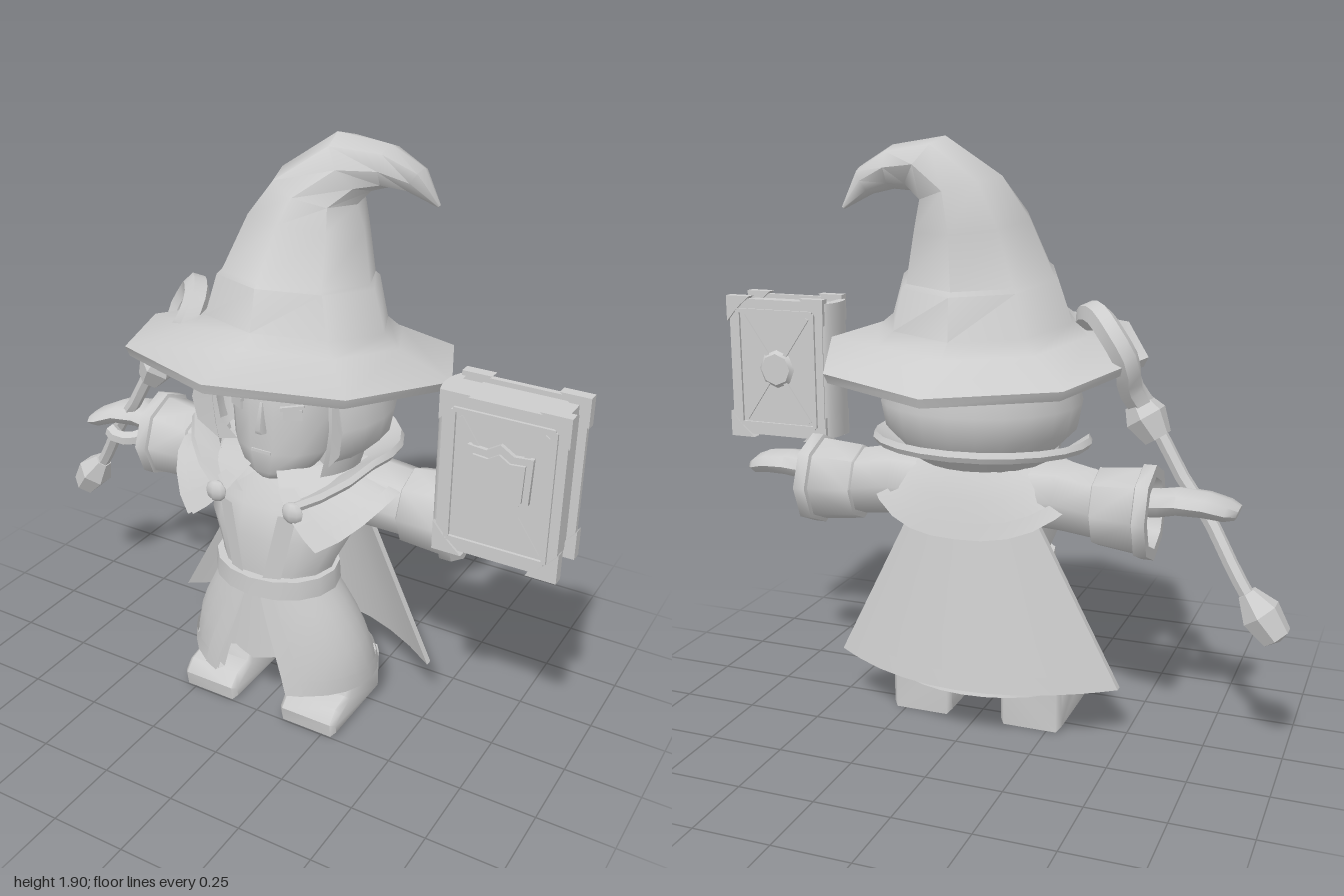
import * as THREE from 'three';
import { toCreasedNormals } from 'three/addons/utils/BufferGeometryUtils.js';

const grey = new THREE.MeshStandardMaterial({ color: 0xcccccc, side: THREE.DoubleSide });
grey.name = 'plain grey';
const V = (x, y, z) => new THREE.Vector3(x, y, z);

function build(points, index) {
  const g = new THREE.BufferGeometry();
  g.setAttribute('position', new THREE.Float32BufferAttribute(points, 3));
  g.setIndex(index);
  return g;
}

// Closed skin over rings [x, y, z, radiusX, radiusZ, tiltX, tiltZ]
function loft(rings, n) {
  const p = [], idx = [], last = rings.length - 1;
  rings.forEach(([x, y, z, rx, rz, ax = 0, az = 0]) => {
    for (let j = 0; j < n; j++) {
      const a = j / n * Math.PI * 2;
      p.push(...V(Math.cos(a) * rx, 0, Math.sin(a) * rz).applyEuler(new THREE.Euler(ax, 0, az)).add(V(x, y, z)));
    }
  });
  for (let i = 0; i < last; i++) for (let j = 0; j < n; j++) {
    const k = (j + 1) % n, a = i * n + j, c = i * n + k;
    idx.push(a, a + n, c, a + n, c + n, c);
  }
  p.push(...rings[0].slice(0, 3), ...rings[last].slice(0, 3));
  const c0 = n * (last + 1);
  for (let j = 0; j < n; j++) {
    const k = (j + 1) % n;
    idx.push(c0, j, k, c0 + 1, last * n + k, last * n + j);
  }
  return build(p, idx);
}

// Open surface from f(u, v) over a range of u and v
function sheet(f, nu, nv, u0 = 0, u1 = 1, v0 = 0, v1 = 1) {
  const p = [], idx = [];
  for (let i = 0; i <= nv; i++) for (let j = 0; j <= nu; j++)
    p.push(...f(u0 + (u1 - u0) * j / nu, v0 + (v1 - v0) * i / nv));
  for (let i = 0; i < nv; i++) for (let j = 0; j < nu; j++) {
    const a = i * (nu + 1) + j, b = a + nu + 1;
    idx.push(a, b, a + 1, b, b + 1, a + 1);
  }
  return build(p, idx);
}

// Mirror across x, keeping faces outward
function flip(geo) {
  const g = geo.index ? geo.toNonIndexed() : geo.clone(), s = g.attributes.position, p = [];
  for (let i = 0; i < s.count; i += 3)
    for (const k of [i, i + 2, i + 1]) p.push(-s.getX(k), s.getY(k), s.getZ(k));
  return build(p, p.slice(0, s.count).map((_, i) => i));
}

const lerp = THREE.MathUtils.lerp;
const polar = (a, y, rx, rz, cz) => [Math.sin(a) * rx, y, Math.cos(a) * rz + cz];
const box = (w, h, d, x, y, z, rz = 0) => new THREE.BoxGeometry(w, h, d).rotateZ(rz).translate(x, y, z);
const poly = pts => new THREE.Shape(pts.map(q => new THREE.Vector2(...q)));
const extrude = (pts, depth, bevel = 0) => new THREE.ExtrudeGeometry(poly(pts),
  { depth, bevelEnabled: bevel > 0, bevelSize: bevel, bevelThickness: bevel, bevelSegments: 1 });
const tube = (pts, r, seg) => new THREE.TubeGeometry(new THREE.CatmullRomCurve3(pts.map(q => V(...q))), seg, r, 6);
// Lathe standing at a point and leaning along a direction
const turned = (prof, at, dir) => new THREE.LatheGeometry(prof.map(q => new THREE.Vector2(...q)), 6)
  .applyQuaternion(new THREE.Quaternion().setFromUnitVectors(V(0, 1, 0), V(...dir).normalize())).translate(...at);

export function createModel() {
  const root = new THREE.Group();
  const add = (name, geo, crease = 0.7, parent = root) => {
    const m = new THREE.Mesh(toCreasedNormals(geo, crease), grey);
    m.name = name;
    parent.add(m);
  };
  const pair = (name, geo, crease) => {
    add(name + 'Left', geo, crease);
    add(name + 'Right', flip(geo), crease);
  };

  // Hat: tilted brim, stepped band, curled tip
  const t = -0.13;
  add('hat', loft([
    [0, 1.22, -.02, .27, .26, t], [0, 1.215, 0, .52, .51, t], [0, 1.245, 0, .535, .52, t],
    [0, 1.3, -.02, .35, .33, t], [0, 1.34, -.02, .3, .28, t], [0, 1.47, -.03, .257, .262, t],
    [0, 1.482, -.03, .242, .246, t], [.01, 1.64, -.07, .19, .195, t, -.06], [.035, 1.74, -.085, .135, .165, 0, -.3],
    [.13, 1.815, -.125, .1, .12, 0, -.95], [.225, 1.805, -.165, .065, .08, 0, -1.6],
    [.3, 1.765, -.2, .045, .05, 0, -2.1], [.36, 1.685, -.235, .006, .006, 0, -2.4]], 8), 0.95);

  // Head and face
  add('head', loft([[0, .862, .12, .055, .06], [0, .89, .08, .115, .12], [0, .96, .03, .175, .175],
    [0, 1.08, .015, .19, .19], [0, 1.2, .01, .19, .19], [0, 1.29, 0, .17, .17]], 14), 0.9);
  add('nose', loft([[0, 1.03, .195, .022, .025], [0, 1.045, .2, .018, .028], [0, 1.13, .19, .008, .012]], 6), 1);
  add('mouth', box(.07, .01, .01, 0, .965, .2));
  pair('brow', box(.09, .018, .012, 0, 0, 0, .25).rotateY(.5).translate(.105, 1.165, .18));
  pair('eye', box(.06, .035, .008, 0, 0, 0).rotateY(.5).translate(.1, 1.105, .18));
  pair('eyelid', box(.075, .012, .012, 0, 0, 0, .12).rotateY(.5).translate(.1, 1.128, .182));
  // Fringe, side locks and hood
  pair('fringe', sheet((u, v) => polar(u * 1.1, lerp(1.31, 1.275 - .12 * u * u, v), .215, .215, .01), 6, 2));
  pair('sideLock', sheet((u, v) => polar(lerp(.85, 1.6, u), lerp(1.3, .9, v),
    .235 + .045 * Math.sin(v * 3), .215, .01), 4, 5), 0.9);
  const hoodProfile = [[1.29, .265, .25], [1.2, .295, .28], [1.08, .325, .305], [1.0, .31, .29], [.93, .24, .23]];
  add('hood', sheet((u, v) => {
    const [y, rx, rz] = hoodProfile[Math.round(v * 4)];
    return polar(lerp(.95, 2 * Math.PI - .95, u), y, rx, rz, -.01);
  }, 16, 4), 0.9);
  pair('hoodEdge', sheet((u, v) => {
    const [y, rx, rz] = hoodProfile[Math.round(v * 4)], k = lerp(1.02, .78, u);
    return polar(.95, y, rx * k, rz * k, 0);
  }, 1, 4), 0.9);

  // Flared collar and shoulder mantle with raised rim
  const around = (gap, u) => lerp(gap, 2 * Math.PI - gap, u);
  const collar = (u, v) => {
    const a = around(.4, u), s = Math.min(1, (Math.PI - Math.abs(a - Math.PI) - .4) / .85);
    return polar(a, lerp(.85 - .05 * (1 - s), .84 + .135 * s, v), lerp(.17, .35, v), lerp(.17, .285, v), lerp(.04, -.01, v));
  };
  add('collar', sheet(collar, 20, 2), 0.9);
  add('collarRim', sheet((u, v) => {
    const q = collar(u, 1), k = 1 + .03 * Math.sin(v * Math.PI);
    return [q[0] * k, q[1] - .035 * v, q[2] * k];
  }, 20, 2), 0.9);
  const mantle = lift => (u, v) => {
    const a = around(lerp(.25, .62, v), u), s = Math.abs(Math.sin(a)) ** 3, front = Math.cos(a) > 0;
    return polar(a, lerp(.91, lerp(front ? .67 : .68, .85, s), v) + lift * .5,
      lerp(.17, .385, v ** .8) + lift, lerp(.17, front ? .3 : .255, v ** .7) + lift, .02);
  };
  add('mantle', sheet(mantle(0), 24, 4), 0.9);
  add('mantleRim', sheet(mantle(.012), 24, 1, 0, 1, .8, 1.02), 0.9);
  pair('mantleFrontRim', sheet(mantle(.013), 1, 4, 0, .04, .2, 1.02), 0.9);
  pair('clasp', new THREE.SphereGeometry(.037, 8, 6).scale(1, 1, .6).translate(.14, .81, .25), 1);

  // Torso, lapels and belt
  add('torso', loft([[0, .46, .1, .185, .155], [0, .56, .09, .195, .165], [0, .68, .06, .25, .195],
    [0, .78, .03, .25, .2], [0, .88, .02, .14, .14]], 14), 0.9);
  pair('lapel', sheet((u, v) => [lerp(.035, .085, v) + u * .055, lerp(.54, .78, v),
    lerp(.262, .246, v) - u * .02], 1, 2));
  add('belt', loft([[0, .483, .105, .19, .155], [0, .483, .105, .215, .178], [0, .548, .105, .21, .176],
    [0, .548, .1, .18, .15]], 16), 0.5);

  // Split coat skirt with front bands and hem
  const skirt = grow => (u, v) => {
    const gap = lerp(.15, .42, v), rx = lerp(.19, .325, Math.sin(v * Math.PI / 2) ** .9);
    return polar(around(gap, u), lerp(.49, .14, v), rx + grow, lerp(.16, .245, v) + grow, lerp(.1, .055, v));
  };
  add('skirt', sheet(skirt(0), 24, 5), 0.9);
  add('skirtLining', sheet(skirt(-.025), 24, 5), 0.9);
  add('hem', sheet(skirt(.008), 24, 1, 0, 1, .84, 1), 0.9);
  add('hemUnderside', sheet((u, v) => skirt(lerp(.008, -.025, v))(u, 1), 24, 1));
  pair('coatBand', sheet(skirt(.011), 1, 5, 0, .035), 0.9);
  add('innerTunic', sheet((u, v) => {
    const a = lerp(-.75, .75, u);
    return polar(a, lerp(.5, .225 + .09 * Math.abs(a), v), lerp(.18, .27, v), lerp(.15, .2, v), lerp(.1, .065, v));
  }, 8, 4), 0.9);

  // Cape with raised border
  const cape = back => (u, v) => {
    const s = 2 * u - 1;
    return [s * lerp(.17, .485, v), lerp(.8, .18, v),
      lerp(-.15, -.245, v) + s * s * lerp(.06, .18, v) - back];
  };
  add('cape', sheet(cape(0), 10, 4), 0.9);
  add('capeInside', sheet(cape(-.015), 10, 4), 0.9);
  add('capeHem', sheet(cape(.009), 10, 1, 0, 1, .91, 1), 0.9);
  pair('capeBorder', sheet(cape(.009), 1, 4, .93, 1), 0.9);
  pair('capeEdge', sheet((u, v) => cape(lerp(.009, -.015, u))(1, v), 1, 4));
  add('capeBottom', sheet((u, v) => cape(lerp(.009, -.015, v))(u, 1), 10, 1));

  // Sleeves with wide open cuffs
  const q = -Math.PI / 2;
  pair('sleeve', loft([[.12, .79, -.02, .11, .11, 0, q], [.28, .795, -.035, .118, .115, 0, q], [.4, .78, -.05, .112, .112, 0, q],
    [.405, .775, -.05, .126, .122, 0, q], [.54, .775, -.06, .14, .135, 0, q], [.545, .775, -.06, .152, .147, 0, q],
    [.585, .775, -.06, .152, .147, 0, q], [.585, .775, -.06, .115, .11, 0, q], [.48, .78, -.06, .09, .09, 0, q]], 8), 0.9);
  // Hands
  pair('hand', loft([[.47, .8, -.06, .05, .055, 0, q], [.6, .81, -.06, .046, .06, 0, q], [.66, .825, -.07, .042, .08, 0, q],
    [.74, .82, -.06, .038, .082, 0, q - .15], [.8, .8, -.03, .032, .078, 0, q - .2], [.83, .79, -.015, .02, .055, 0, q - .3]], 8), 0.9);
  pair('thumb', tube([[.59, .79, -.02], [.63, .775, .03], [.68, .775, .055], [.72, .79, .045]], .026, 5), 0.9);

  // Legs and boots
  pair('leg', new THREE.CylinderGeometry(.085, .085, .14, 8).translate(.185, .21, .03));
  pair('bootCuff', loft([[.175, .14, .025, .095, .105], [.175, .145, .025, .115, .12],
    [.175, .2, .025, .115, .12], [.175, .205, .025, .09, .1]], 8));
  pair('boot', extrude([[-.065, .015], [.232, .015], [.236, .045], [.205, .075], [.14, .09], [.11, .155], [-.065, .155]],
    .18, .015).rotateY(-Math.PI / 2).translate(.282, 0, 0), 0.8);

  // Staff with pointed foot, socket and hooked head
  add('staff', tube([[-.92, .5, -.1], [-.84, .62, -.08], [-.74, .78, -.04], [-.66, .88, -.02], [-.6, .98, -.01], [-.53, 1.09, 0]], .023, 12));
  add('staffFoot', turned([[0, 0], [.048, .015], [.064, .1], [.03, .175], [0, .175]], [-.985, .43, -.1], [.62, .8, .05]), 0.3);
  add('staffSocket', turned([[0, 0], [.045, 0], [.068, .075], [.045, .125], [0, .125]], [-.575, 1.0, -.01], [.55, .85, .05]), 0.3);
  add('staffHook', tube([[-.53, 1.08, 0], [-.49, 1.16, -.04], [-.49, 1.24, -.085], [-.44, 1.32, -.08], [-.38, 1.365, -.02],
    [-.325, 1.35, .06], [-.32, 1.29, .125], [-.37, 1.24, .11], [-.43, 1.22, .05]], .042, 18), 0.8);
  add('hookTip', new THREE.SphereGeometry(.044, 6, 4).translate(-.43, 1.22, .05));

  // Book: covers, pages and rounded spine
  const book = new THREE.Group();
  book.name = 'book';
  root.add(book);
  const bk = (name, geo) => add(name, geo, 0.6, book);
  bk('pages', box(.345, .45, .13, .7875, 1.1, .185));
  bk('spine', new THREE.CylinderGeometry(.08, .08, .47, 10, 1, false, Math.PI, Math.PI).scale(.45, 1, 1).translate(.63, 1.1, .185));
  for (const s of [-1, 1]) {
    const z = .185 + s * .073, f = z + s * .012;
    bk('cover', box(.36, .48, .018, .805, 1.1, z));
    for (const k of [-1, 1]) {
      bk('frameSide', box(.014, .4, .012, .805 + k * .145, 1.1, f));
      bk('frameEnd', box(.29, .014, .012, .805, 1.1 + k * .2, f));
      bk('ray', box(.014, .44, .01, .805, 1.1, f - s * .002, k * .6));
    }
    // Triangular corner guards
    for (const kx of [-1, 1]) for (const ky of [-1, 1]) {
      const g = extrude([[0, 0], [-.09, 0], [-.055, -.03], [-.03, -.055], [0, -.09]], .034)
        .translate(.187, .25, z - .017);
      const corner = kx > 0 ? g : flip(g);
      bk('cornerGuard', (ky > 0 ? corner : flip(corner).rotateZ(Math.PI)).translate(.805, 1.1, 0));
    }
  }
  // Shield on the front cover, faceted boss on the back
  const shield = k => [[0, .13], [.04, .105], [.095, .11], [.09, -.03], [.055, -.09], [0, -.13],
    [-.055, -.09], [-.09, -.03], [-.095, .11], [-.04, .105]].map(([x, y]) => [x * k, y * k]);
  bk('shield', extrude(shield(1), .016).translate(.805, 1.1, .265));
  bk('shieldFace', extrude(shield(.8), .008).translate(.805, 1.1, .281));
  bk('backBoss', new THREE.CylinderGeometry(.07, .055, .016, 8).rotateX(Math.PI / 2).translate(.805, 1.1, .098));
  return root;
}
